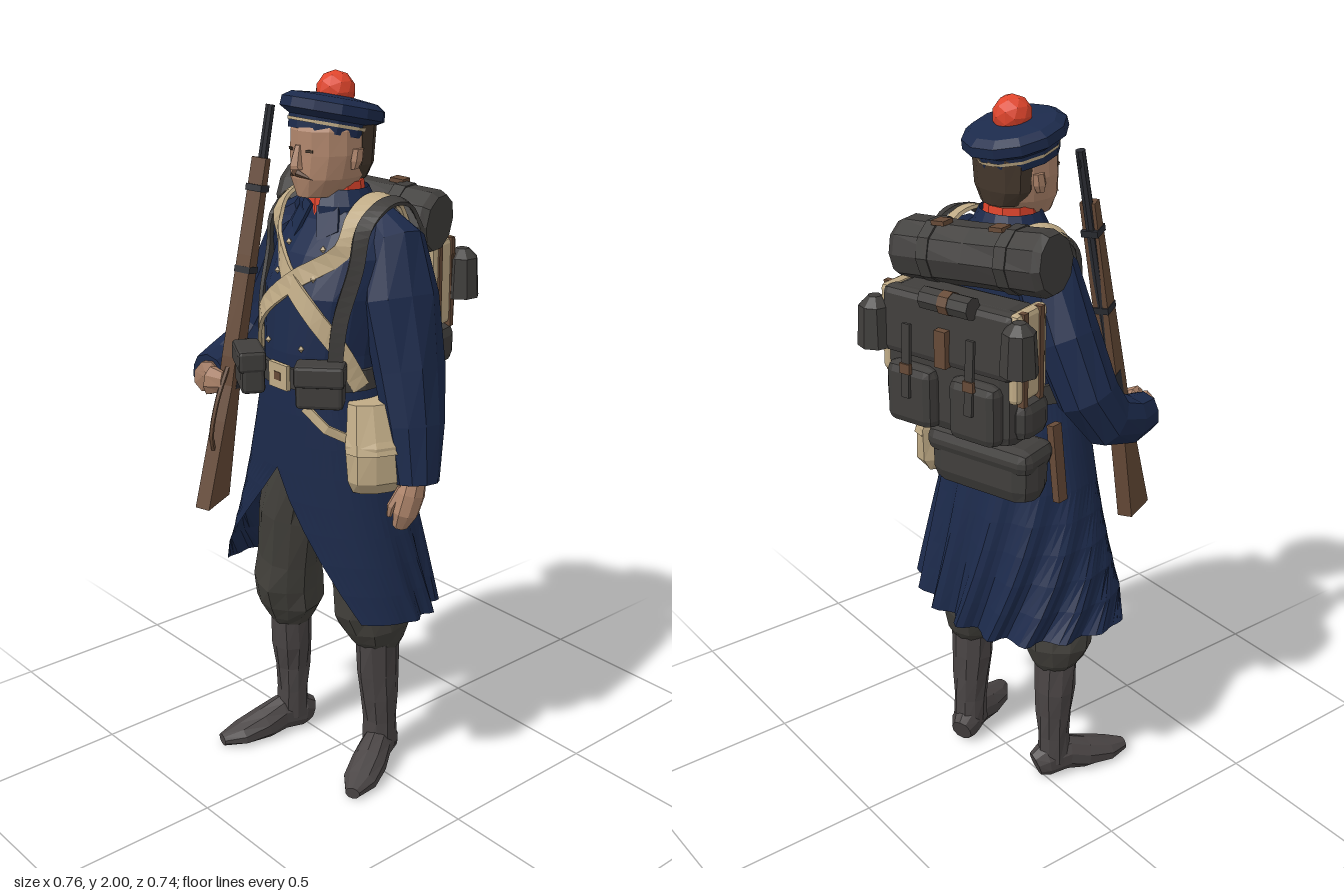
import * as THREE from 'three';
import { RoundedBoxGeometry } from 'three/addons/geometries/RoundedBoxGeometry.js';
import { ParametricGeometry } from 'three/addons/geometries/ParametricGeometry.js';

const V = (x, y, z) => new THREE.Vector3(x, y, z);
const colour = (name, hex, side = THREE.FrontSide) => Object.assign(new THREE.MeshStandardMaterial({ color: hex, side }), { name });

let seed = 7;
const rnd = () => { seed = (seed * 16807) % 2147483647; return seed / 2147483647 - 0.5; };

// Faceted mesh: every face gets its own flat normal
function part(parent, name, geo, mat, pos = [0, 0, 0], rot = [0, 0, 0]) {
  const g = geo.index ? geo.toNonIndexed() : geo;
  g.computeVertexNormals();
  const m = new THREE.Mesh(g, mat);
  m.name = name;
  m.position.set(...pos);
  m.rotation.set(...rot);
  parent.add(m);
  return m;
}

// Capped tube through rings [x, y, z, radiusA, radiusB]; flat keeps rings level,
// out(p) gives the outward direction for straps, n = 4 makes a rectangular bar
function tube(rings, n = 10, { flat = false, out = null, crumple = 0, floor = -1 } = {}) {
  const pos = [], idx = [], pts = rings.map(r => V(r[0], r[1], r[2])), last = pts.length - 1;
  rings.forEach((r, i) => {
    const t = flat ? V(0, 1, 0) : pts[Math.min(i + 1, last)].clone().sub(pts[Math.max(i - 1, 0)]).normalize();
    const a = out ? out(pts[i]) : V(1, 0, 0);
    a.addScaledVector(t, -a.dot(t)).normalize();
    const b = t.clone().cross(a), k = n === 4 ? Math.SQRT2 : 1;
    for (let j = 0; j < n; j++) {
      const q = (j + 0.5) / n * Math.PI * 2, s = k * (1 + crumple * rnd());
      const p = pts[i].clone().addScaledVector(a, Math.cos(q) * r[3] * s).addScaledVector(b, Math.sin(q) * (r[4] ?? r[3]) * s);
      pos.push(p.x, Math.max(p.y, floor), p.z);
    }
  });
  for (let i = 0; i < last; i++) for (let j = 0; j < n; j++) {
    const A = i * n + j, B = i * n + (j + 1) % n;
    idx.push(A, B, B + n, A, B + n, A + n);
  }
  for (let j = 1; j < n - 1; j++) idx.push(0, j + 1, j, last * n, last * n + j, last * n + j + 1);
  const g = new THREE.BufferGeometry();
  g.setAttribute('position', new THREE.Float32BufferAttribute(pos, 3));
  g.setIndex(idx);
  return g;
}

// Torso cross-sections, also used to lay straps on the chest
const TORSO = [[0.02, 1.16, 0.075, 0.18, 0.158], [0.02, 1.3, 0.063, 0.178, 0.168], [0.02, 1.45, 0.045, 0.195, 0.17],
  [0.02, 1.55, 0.025, 0.195, 0.142], [0.015, 1.63, 0.005, 0.16, 0.1], [0.01, 1.68, 0.01, 0.09, 0.08]];
function onBody(angle, y, off) {
  let i = 0;
  while (i < TORSO.length - 2 && y > TORSO[i + 1][1]) i++;
  const f = (y - TORSO[i][1]) / (TORSO[i + 1][1] - TORSO[i][1]);
  const [cx, , cz, rx, rz] = TORSO[i].map((v, k) => v + (TORSO[i + 1][k] - v) * f);
  return V(cx + (rx + off) * Math.sin(angle), y, cz + (rz + off) * Math.cos(angle));
}
// Strap running over a shoulder point list, then down the chest along [angle, y] pairs
function strap(parent, name, over, path, width, mat, off) {
  const curve = new THREE.CatmullRomCurve3([...over.map(p => V(...p)), ...path.map(([a, y]) => onBody(a, y, off))]);
  const rings = curve.getPoints(30).map(p => [p.x, p.y, p.z, 0.005, width / 2]);
  part(parent, name, tube(rings, 4, { out: p => V(p.x - 0.02, 0.02 + Math.max(0, p.y - 1.58) * 5, p.z - 0.03) }), mat);
}

export function createModel() {
  const root = new THREE.Group();
  root.name = 'soldier';
  const group = (name, parent = root) => { const g = new THREE.Group(); g.name = name; parent.add(g); return g; };
  const navy = colour('navy cloth', 0x1c2a4b, THREE.DoubleSide), beige = colour('beige canvas', 0xc0ab86);
  const skin = colour('skin', 0xb0866c), red = colour('red wool', 0xe0452c, THREE.DoubleSide), wood = colour('wood', 0x664a37);
  const dark = colour('dark leather', 0x403e3c), trouser = colour('trouser cloth', 0x42403b);
  const boot = colour('boot leather', 0x4a4545), hair = colour('dark hair', 0x45382d), metal = colour('gun metal', 0x2b2d33);

  // Legs, gaiters and shoes
  const legs = group('legs');
  const legData = [
    ['right', [[-0.08, 0.97, 0.06, 0.1], [-0.125, 0.76, 0.07, 0.1], [-0.15, 0.61, 0.065, 0.092], [-0.165, 0.53, 0.06, 0.102], [-0.172, 0.46, 0.05, 0.1], [-0.175, 0.41, 0.05, 0.075], [-0.175, 0.385, 0.05, 0.058]],
      [[-0.175, 0.41, 0.05, 0.062], [-0.178, 0.3, 0.042, 0.06], [-0.182, 0.22, 0.04, 0.052], [-0.182, 0.14, 0.04, 0.047], [-0.185, 0.05, 0.04, 0.05]], -0.2],
    ['left', [[0.085, 0.97, 0.04, 0.1], [0.1, 0.76, 0.02, 0.1], [0.105, 0.61, 0, 0.1], [0.108, 0.53, -0.02, 0.11], [0.114, 0.46, -0.035, 0.102], [0.118, 0.41, -0.035, 0.078], [0.12, 0.385, -0.03, 0.062]],
      [[0.12, 0.41, -0.03, 0.064], [0.12, 0.3, -0.035, 0.062], [0.12, 0.22, -0.042, 0.056], [0.12, 0.14, -0.048, 0.05], [0.12, 0.05, -0.05, 0.052]], 0.5]];
  for (const [side, leg, gaiter, yaw] of legData) {
    part(legs, side + 'Trouser', tube(leg, 12, { crumple: 0.16 }), trouser);
    part(legs, side + 'Gaiter', tube(gaiter, 10, { crumple: 0.12 }), boot);
    const [x, , z] = gaiter[4];
    part(legs, side + 'Shoe', tube([[0, 0.04, -0.06, 0.032, 0.04], [0, 0.05, -0.03, 0.046, 0.055], [0, 0.055, 0.04, 0.046, 0.055],
      [0, 0.035, 0.1, 0.053, 0.05], [0, 0.022, 0.18, 0.05, 0.034], [0, 0.018, 0.24, 0.022, 0.018]], 10, { floor: 0 }), boot, [x, 0, z], [0, yaw, 0]);
  }

  // Coat body
  const coat = group('coat');
  part(coat, 'coatBody', tube(TORSO, 20, { flat: true }), navy);
  // Skirt, open at the front, its right flap swung forward, pleats running down the back
  part(coat, 'coatSkirt', new ParametricGeometry((u, v, p) => {
    const g = Math.max(0, v - 0.38) / 0.62;
    const a = 0.9 * g + u * (Math.PI * 2 - 2.2 * g), back = Math.max(0, 0.25 - Math.cos(a));
    const s = 1 + 0.08 * v * back * Math.cos(u * Math.PI * 24), w = Math.pow(v, 0.85);
    const swing = 0.1 * v * v * Math.pow(Math.max(0, Math.cos(a + 1.25)), 3);
    const y = 1.22 - 0.66 * v - 0.01 * back * v;
    p.set(0.02 - 0.025 * v + (0.175 + 0.155 * w) * s * Math.sin(a), y, 0.073 - 0.06 * v + swing + (0.163 + 0.052 * w) * s * Math.cos(a));
  }, 72, 8), navy);
  // Standing collar
  part(coat, 'collar', new ParametricGeometry((u, v, p) => {
    const a = 0.3 + u * (Math.PI * 2 - 0.6), r = 0.105 - 0.02 * v + 0.012 * Math.sin(v * 3);
    p.set(0.01 + r * Math.sin(a), 1.63 + 0.08 * v, 0.02 + r * 0.9 * Math.cos(a));
  }, 14, 2), navy);
  part(coat, 'neckScarf', new THREE.CylinderGeometry(0.07, 0.08, 0.095, 10, 1, true), red, [0.01, 1.678, 0.022]);
  for (const s of [-1, 1]) {
    const lapel = new THREE.Shape([[0.01, 0.03], [0.07, 0.05], [0.095, -0.02], [0.045, -0.06]].map(q => new THREE.Vector2(q[0] * s, q[1])));
    part(coat, 'collarPoint', new THREE.ExtrudeGeometry(lapel, { depth: 0.008, bevelEnabled: false }), navy, [0.015, 1.64, 0.115], [-0.45, s * 0.3, 0]);
  }
  // Sleeves
  part(coat, 'leftSleeve', tube([[0.11, 1.62, -0.03, 0.06], [0.168, 1.575, -0.03, 0.086, 0.09], [0.215, 1.44, -0.014, 0.092, 0.112], [0.262, 1.26, -0.008, 0.085, 0.096],
    [0.3, 1.12, 0.005, 0.075, 0.08], [0.327, 0.97, 0.02, 0.06]], 10, { crumple: 0.1 }), navy);
  part(coat, 'rightSleeve', tube([[-0.09, 1.62, 0.015, 0.06], [-0.145, 1.575, 0.015, 0.086], [-0.228, 1.42, 0.02, 0.09], [-0.29, 1.28, 0.045, 0.084],
    [-0.3, 1.2, 0.1, 0.075], [-0.297, 1.175, 0.18, 0.066], [-0.275, 1.17, 0.25, 0.055]], 10, { crumple: 0.1 }), navy);
  for (const a of [-0.28, 0.42]) for (const y of [1.32, 1.41, 1.5, 1.57])
    part(coat, 'button', new THREE.OctahedronGeometry(0.01), beige, onBody(a, y, 0.004).toArray());

  // Hands
  part(root, 'leftHand', tube([[0.327, 0.99, 0.025, 0.028, 0.035], [0.33, 0.94, 0.04, 0.03, 0.042], [0.325, 0.89, 0.055, 0.028, 0.04], [0.31, 0.85, 0.06, 0.018, 0.025]], 8), skin);
  part(root, 'leftThumb', tube([[0.315, 0.96, 0.06, 0.013], [0.3, 0.91, 0.085, 0.012], [0.292, 0.88, 0.085, 0.007]], 6), skin);
  part(root, 'rightHand', tube([[-0.285, 1.17, 0.235, 0.03, 0.035], [-0.25, 1.172, 0.275, 0.035, 0.045], [-0.215, 1.172, 0.285, 0.03, 0.042], [-0.19, 1.17, 0.265, 0.02, 0.03]], 8), skin);

  // Head
  const head = group('head');
  part(head, 'face', tube([[0.01, 1.62, 0.015, 0.06, 0.06], [0.01, 1.69, 0.03, 0.062, 0.065], [0.01, 1.692, 0.065, 0.052, 0.082], [0.01, 1.74, 0.055, 0.086, 0.102],
    [0.01, 1.8, 0.048, 0.098, 0.106], [0.01, 1.86, 0.045, 0.096, 0.108], [0.01, 1.9, 0.04, 0.08, 0.09]], 14, { flat: true }), skin);
  part(head, 'hairBack', tube([[0.01, 1.73, -0.005, 0.065, 0.05], [0.01, 1.77, 0.0, 0.093, 0.065], [0.01, 1.87, 0.0, 0.1, 0.073]], 12, { flat: true }), hair);
  part(head, 'nose', tube([[0.01, 1.765, 0.152, 0.02, 0.026], [0.01, 1.775, 0.155, 0.017, 0.024], [0.01, 1.825, 0.148, 0.01, 0.012]], 6, { flat: true }), skin);
  for (const s of [-1, 1]) {
    part(head, 'ear', tube([[0.01 + s * 0.094, 1.765, 0.045, 0.008, 0.012], [0.01 + s * 0.097, 1.785, 0.04, 0.012, 0.02], [0.01 + s * 0.098, 1.815, 0.035, 0.01, 0.018]], 6, { flat: true }), skin);
    part(head, 'moustache', new THREE.ConeGeometry(0.01, 0.05, 5), wood, [0.01 + s * 0.026, 1.748, 0.15], [0, s * 0.4, -s * 1.9]);
    part(head, 'eye', new THREE.BoxGeometry(0.02, 0.007, 0.006), hair, [0.01 + s * 0.037, 1.812, 0.145], [0, s * 0.4, 0]);
  }

  // Cap tilted back, with pompom
  const cap = group('cap');
  cap.position.set(0.003, 1.842, 0.043);
  cap.rotation.x = -0.22;
  const capProfile = [[0, 0], [0.105, 0], [0.108, 0.035], [0.134, 0.05], [0.132, 0.075], [0.11, 0.09], [0, 0.102]].map(q => new THREE.Vector2(...q));
  part(cap, 'capCrown', new THREE.LatheGeometry(capProfile, 12), navy).scale.z = 1.05;
  part(cap, 'capStripe', new THREE.CylinderGeometry(0.1105, 0.1095, 0.008, 12, 1, true), beige, [0, 0.023, 0]).scale.z = 1.05;
  part(root, 'pompom', new THREE.IcosahedronGeometry(0.052, 1), red, [0.004, 1.948, 0.022]);

  // Belt, buckle and cartridge pouches
  const gear = group('beltGear');
  part(gear, 'belt', tube([[0.02, 1.21, 0.07, 0.192, 0.173], [0.02, 1.265, 0.067, 0.19, 0.175]], 20, { flat: true }), dark);
  part(gear, 'buckle', new THREE.BoxGeometry(0.075, 0.068, 0.012), beige, [0.035, 1.24, 0.243]);
  part(gear, 'buckleInset', new THREE.BoxGeometry(0.025, 0.022, 0.008), wood, [0.035, 1.24, 0.247]);
  for (const [x, z, yaw] of [[-0.083, 0.25, -0.5], [0.16, 0.208, 0.75]]) {
    const pouch = group('cartridgePouch', gear);
    pouch.position.set(x, 1.235, z);
    pouch.rotation.y = yaw;
    part(pouch, 'pouchBody', new RoundedBoxGeometry(0.125, 0.115, 0.065, 1, 0.012), dark);
    part(pouch, 'pouchFlap', new RoundedBoxGeometry(0.132, 0.06, 0.075, 1, 0.01), dark, [0, 0.032, 0.002]);
  }
  // Crossed canvas straps and pack straps, all running over the shoulders
  strap(gear, 'crossStrap', [[0.13, 1.6, -0.12], [0.13, 1.675, -0.07], [0.13, 1.688, 0], [0.14, 1.65, 0.07]],
    [[0.72, 1.57], [0.14, 1.49], [-0.4, 1.4], [-0.85, 1.31], [-1.2, 1.22]], 0.048, beige, 0.011);
  strap(gear, 'crossStrap', [[-0.12, 1.6, -0.1], [-0.13, 1.675, -0.04], [-0.14, 1.688, 0.02], [-0.14, 1.65, 0.09]],
    [[-0.6, 1.57], [0.06, 1.49], [0.55, 1.41], [1.0, 1.32], [1.35, 1.22]], 0.048, beige, 0.008);
  strap(gear, 'packStrap', [[0.175, 1.6, -0.13], [0.17, 1.67, -0.08], [0.172, 1.682, -0.01], [0.178, 1.63, 0.075]], [[0.98, 1.53], [0.93, 1.4], [0.93, 1.27]], 0.04, dark, 0.015);
  strap(gear, 'packStrap', [[-0.15, 1.6, -0.1], [-0.155, 1.665, -0.05], [-0.165, 1.674, 0.03], [-0.168, 1.63, 0.09]], [[-1.05, 1.53], [-1.02, 1.4], [-0.98, 1.27]], 0.036, dark, 0.015);
  // Canvas bags round the left hip, scabbard on the right
  const bag = (name, x, z, yaw, rz) => {
    const g = group(name, gear);
    g.position.set(x, 0, z);
    g.rotation.y = yaw;
    part(g, 'bagBody', tube([[0, 0.945, 0, 0.035, rz * 0.75], [0.008, 0.98, 0, 0.052, rz * 0.97], [0.005, 1.08, 0, 0.055, rz], [-0.025, 1.17, 0, 0.035, rz * 0.8]], 10, { flat: true, crumple: 0.08 }), beige);
    part(g, 'bagFlap', tube([[0.01, 1.06, 0, 0.056, rz * 1.02], [-0.02, 1.185, 0, 0.04, rz * 0.85]], 10, { flat: true }), beige);
  };
  bag('frontBag', 0.25, 0.085, -0.35, 0.095);
  bag('rearBag', 0.185, -0.085, 0.5, 0.11);
  part(gear, 'bagStrap', tube([[0.12, 1.17, 0.228, 0.005, 0.012], [0.18, 1.12, 0.205, 0.005, 0.012], [0.235, 1.08, 0.14, 0.005, 0.012]], 4, { out: p => V(p.x, 0, p.z) }), beige);
  part(gear, 'scabbard', new THREE.BoxGeometry(0.022, 0.22, 0.035), wood, [-0.225, 1.07, -0.0], [0, 0.2, -0.12]);

  // Backpack, turned slightly to the side
  const pack = group('backpack');
  pack.position.set(-0.045, 0, -0.125);
  pack.rotation.y = 0.31;
  part(pack, 'packBody', new RoundedBoxGeometry(0.4, 0.37, 0.14, 1, 0.035), dark, [0, 1.36, -0.07]);
  part(pack, 'packFlap', new RoundedBoxGeometry(0.41, 0.18, 0.06, 1, 0.02), dark, [0, 1.455, -0.115], [0.06, 0, 0]);
  for (const s of [-1, 1]) {
    part(pack, 'packPocket', new RoundedBoxGeometry(0.15, 0.17, 0.07, 1, 0.025), dark, [s * 0.1, 1.27, -0.14]);
    part(pack, 'packSideCloth', new RoundedBoxGeometry(0.035, 0.24, 0.135, 1, 0.014), beige, [s * 0.198, 1.425, -0.065]);
    part(pack, 'packSidePouch', new RoundedBoxGeometry(0.06, 0.11, 0.12, 1, 0.03), dark, [s * 0.2, 1.25, -0.055]);
    for (const z of [-0.03, -0.1]) part(pack, 'packSideStrap', new THREE.BoxGeometry(0.02, 0.25, 0.018), wood, [s * 0.21, 1.42, z]);
    part(pack, 'flapStrap', new THREE.BoxGeometry(0.024, 0.2, 0.01), dark, [s * 0.1, 1.37, -0.174], [0.06, 0, 0]);
    part(pack, 'strapBuckle', new THREE.BoxGeometry(0.032, 0.028, 0.012), wood, [s * 0.1, 1.35, -0.178]);
  }
  // Blanket roll, drooping towards the left shoulder
  const roll = group('blanketRoll', pack);
  roll.position.set(-0.005, 1.625, 0);
  roll.rotation.z = -0.09;
  part(roll, 'rolledBlanket', tube([[-0.235, 0, 0, 0.075], [-0.215, 0, 0, 0.086], [0, 0, 0, 0.082], [0.215, 0, 0, 0.086], [0.235, 0, 0, 0.076]], 10, { out: () => V(0, 1, 0), crumple: 0.06 }), dark);
  for (const s of [-1, 1]) {
    part(roll, 'rollStrap', new THREE.CylinderGeometry(0.088, 0.088, 0.035, 10), dark, [s * 0.12, 0, 0], [0, 0, Math.PI / 2]);
    part(roll, 'rollBuckle', new THREE.BoxGeometry(0.04, 0.012, 0.04), wood, [s * 0.09, 0.084, -0.025]);
  }
  part(pack, 'smallRoll', new THREE.CylinderGeometry(0.03, 0.03, 0.15, 8), dark, [-0.02, 1.545, -0.15], [0, 0, Math.PI / 2]);
  part(pack, 'smallRollStrap', new THREE.CylinderGeometry(0.032, 0.032, 0.03, 8), wood, [-0.02, 1.545, -0.15], [0, 0, Math.PI / 2]);
  part(pack, 'centreTab', new THREE.BoxGeometry(0.035, 0.1, 0.05), wood, [0, 1.42, -0.14]);
  part(pack, 'lowerPouch', new RoundedBoxGeometry(0.33, 0.17, 0.13, 1, 0.05), dark, [-0.045, 1.06, -0.012]);
  part(pack, 'lowerPouchFlap', new RoundedBoxGeometry(0.335, 0.075, 0.14, 1, 0.03), dark, [-0.045, 1.11, -0.014]);
  for (const [x, z, y] of [[0.229, -0.137, 1.43], [-0.229, -0.145, 1.46]]) {
    part(pack, 'mug', new THREE.CylinderGeometry(0.043, 0.05, 0.11, 8), dark, [x, y, z]);
    part(pack, 'mugLid', new THREE.CylinderGeometry(0.018, 0.043, 0.025, 8), dark, [x, y + 0.067, z]);
    part(pack, 'mugHook', new THREE.BoxGeometry(0.05, 0.018, 0.018), wood, [x * 0.86, y + 0.06, z + 0.03]);
  }

  // Rifle leaning against the right shoulder
  const rifle = group('rifle');
  rifle.position.set(-0.203, 0.82, 0.3);
  rifle.rotation.set(-0.203, 0.45 - Math.PI / 2, 0);
  const stock = new THREE.Shape([[-0.055, 0.015], [0.062, -0.01], [0.038, 0.24], [0.026, 0.34], [0.028, 0.42], [0.02, 0.7], [0.013, 0.96],
    [-0.016, 0.96], [-0.024, 0.7], [-0.03, 0.42], [-0.026, 0.32]].map(q => new THREE.Vector2(...q)));
  part(rifle, 'stock', new THREE.ExtrudeGeometry(stock, { depth: 0.042, bevelEnabled: false }), wood, [0, 0, -0.021]);
  part(rifle, 'barrel', new THREE.CylinderGeometry(0.013, 0.017, 0.72, 8), metal, [-0.012, 0.74, 0]);
  part(rifle, 'frontSight', new THREE.BoxGeometry(0.012, 0.02, 0.006), metal, [-0.026, 1.07, 0]);
  part(rifle, 'receiver', new THREE.BoxGeometry(0.036, 0.14, 0.044), metal, [-0.017, 0.4, 0]);
  part(rifle, 'boltHandle', new THREE.CylinderGeometry(0.006, 0.008, 0.05, 6), metal, [-0.014, 0.37, 0.03], [Math.PI / 2, 0, 0]);
  for (const y of [0.66, 0.88]) part(rifle, 'barrelBand', new THREE.BoxGeometry(0.05, 0.018, 0.046), metal, [-0.003, y, 0]);
  const guard = new THREE.CatmullRomCurve3([V(0.044, 0.16, 0), V(0.068, 0.2, 0), V(0.062, 0.3, 0), V(0.026, 0.39, 0)]);
  part(rifle, 'triggerGuard', new THREE.TubeGeometry(guard, 10, 0.007, 5), wood);

  return root;
}
